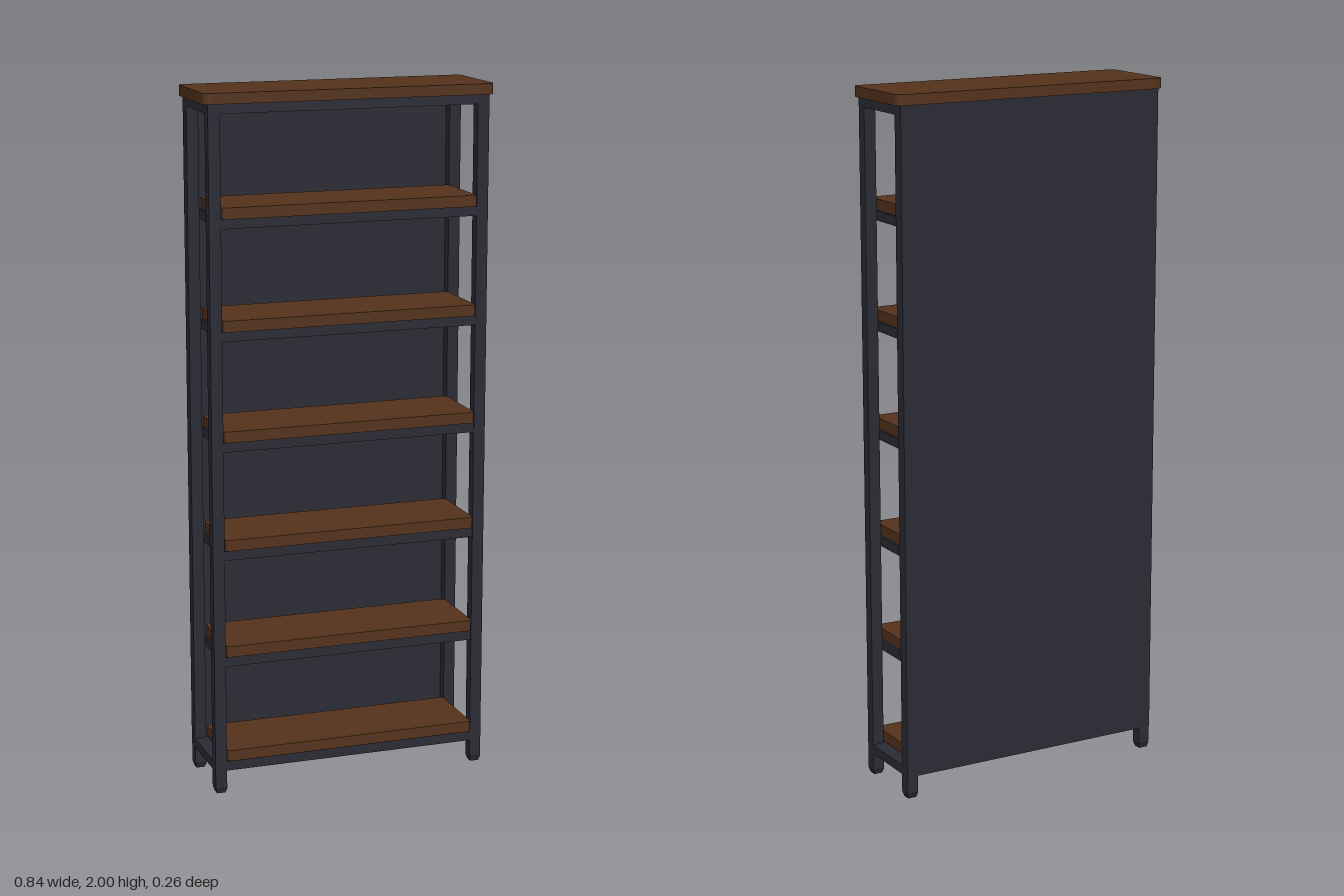
import * as THREE from 'three';

const wood = new THREE.MeshStandardMaterial({ color: 0x55331c, flatShading: true });
const metal = new THREE.MeshStandardMaterial({ color: 0x2b2b36, flatShading: true });

export function createModel() {
  const model = new THREE.Group();

  // box given by its lower and upper corners
  function box(name, [x0, y0, z0], [x1, y1, z1]) {
    const mesh = new THREE.Mesh(new THREE.BoxGeometry(x1 - x0, y1 - y0, z1 - z0), metal);
    mesh.position.set((x0 + x1) / 2, (y0 + y1) / 2, (z0 + z1) / 2);
    mesh.name = name;
    model.add(mesh);
  }

  // board with rounded corners in plan
  function board(name, w, y0, y1, z0, z1, r) {
    const s = new THREE.Shape();
    const x = w / 2, a = -z1, b = -z0;
    s.moveTo(-x + r, a);
    s.lineTo(x - r, a).absarc(x - r, a + r, r, -Math.PI / 2, 0);
    s.lineTo(x, b - r).absarc(x - r, b - r, r, 0, Math.PI / 2);
    s.lineTo(-x + r, b).absarc(-x + r, b - r, r, Math.PI / 2, Math.PI);
    s.lineTo(-x, a + r).absarc(-x + r, a + r, r, Math.PI, Math.PI * 1.5);
    const g = new THREE.ExtrudeGeometry(s, { depth: y1 - y0, bevelEnabled: false, curveSegments: 3 });
    g.rotateX(-Math.PI / 2);
    const mesh = new THREE.Mesh(g, wood);
    mesh.position.y = y0;
    mesh.name = name;
    model.add(mesh);
  }

  const outX = 0.408, inX = 0.374, outZ = 0.122, inZ = 0.09;

  // corner posts with tapered feet, and side rails
  for (const sx of [-1, 1]) {
    const xa = Math.min(sx * inX, sx * outX), xb = Math.max(sx * inX, sx * outX);
    for (const sz of [-1, 1]) {
      const za = Math.min(sz * inZ, sz * outZ), zb = Math.max(sz * inZ, sz * outZ);
      box('post', [xa, 0.015, za], [xb, 1.97, zb]);
      const g = new THREE.CylinderGeometry(0.034 / Math.SQRT2, 0.025 / Math.SQRT2, 0.015, 4);
      g.rotateY(Math.PI / 4);
      const foot = new THREE.Mesh(g, metal);
      foot.position.set((xa + xb) / 2, 0.0075, (za + zb) / 2);
      foot.name = 'foot';
      model.add(foot);
    }
    box('lowerSideRail', [xa, 0.066, -inZ], [xb, 0.093, inZ]);
    box('upperSideRail', [xa, 1.943, -inZ], [xb, 1.97, inZ]);
  }

  // front and back top rails
  box('topFrontRail', [-inX, 1.943, inZ], [inX, 1.97, outZ]);
  box('topBackRail', [-inX, 1.943, -outZ], [inX, 1.97, -inZ]);

  // back panel covering the rear posts
  box('backPanel', [-outX, 0.066, -outZ - 0.003], [outX, 1.97, -outZ + 0.003]);

  // six shelves, each on a metal support slab
  for (let i = 0; i < 6; i++) {
    const ry = 0.066 + i * 0.3128, sy = 0.098 + i * 0.312;
    box('shelfSupport', [-inX, ry, i === 0 ? -outZ : -inZ], [inX, ry + 0.027, outZ - 0.002]);
    board('shelf', 0.744, sy, sy + 0.032, -inZ, 0.132, 0.01);
  }

  // top board
  board('topBoard', 0.842, 1.97, 2, -0.132, 0.132, 0.02);
  return model;
}
